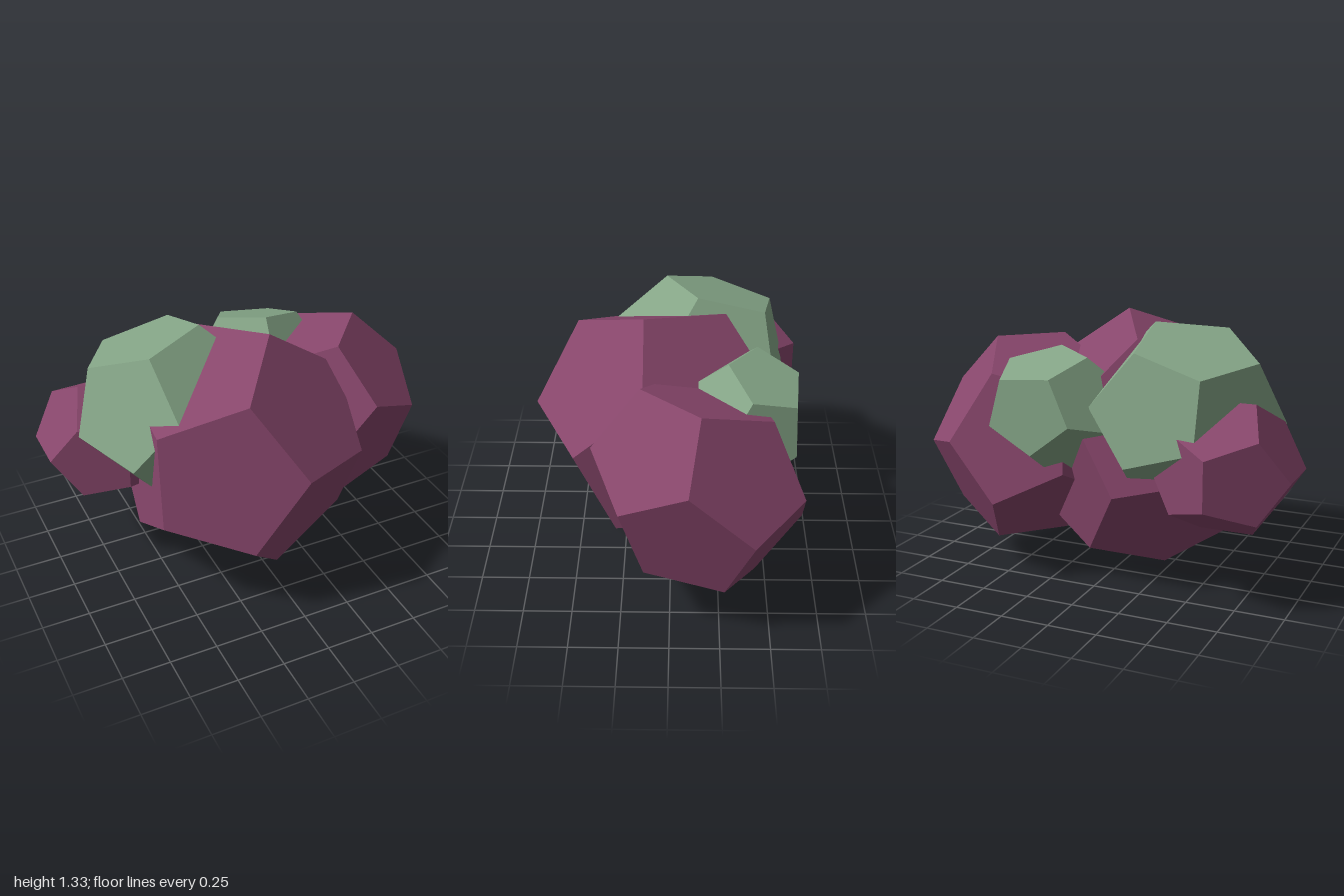
import * as THREE from 'three';

const PURPLE = 0x87466b;
const GREEN = 0x84a486;

// Three corners that surround one corner of a unit dodecahedron
const PHI = (1 + Math.sqrt(5)) / 2;
const unitCorners = [[0, 1 / PHI, PHI], [PHI, 0, 1 / PHI], [1 / PHI, PHI, 0]]
  .map((p) => new THREE.Vector3(...p).normalize());
const fromUnit = new THREE.Matrix4().makeBasis(...unitCorners).invert();

// A tilted, slightly squashed dodecahedron, placed by its centre and by
// three corners listed counter-clockwise around a common neighbour
function makeLobe({ name, color, center, corners }) {
  const c = new THREE.Vector3(...center);
  const axes = corners.map((p) => new THREE.Vector3(...p).sub(c));
  const shape = new THREE.Matrix4().makeBasis(...axes).multiply(fromUnit);
  const geometry = new THREE.DodecahedronGeometry(1, 0).applyMatrix4(shape);
  geometry.computeVertexNormals();
  const material = new THREE.MeshStandardMaterial({ color, flatShading: true });
  const mesh = new THREE.Mesh(geometry, material);
  mesh.name = name;
  mesh.position.copy(c);
  return mesh;
}

const lobes = [
  // Large lobe in the front middle
  {
    name: 'mainLobe', color: PURPLE, center: [-0.06, 0.665, 0.05],
    corners: [[-0.195, 1.175, 0.49], [-0.23, 0.405, 0.64], [0.445, 0.745, 0.485]],
  },
  // Medium lobe on the left side
  {
    name: 'leftLobe', color: PURPLE, center: [0.532, 0.667, -0.145],
    corners: [[0.73, 1.18, -0.145], [0.91, 0.755, 0.237], [1.0, 0.635, -0.4]],
  },
  // Small lobe at the back right, standing upright
  {
    name: 'backRightLobe', color: PURPLE, center: [-0.647, 0.665, -0.345],
    corners: [[-0.647, 0.789, 0.008], [-0.294, 0.665, -0.21], [-0.512, 0.99, -0.345]],
  },
  // Green lobe on the upper right
  {
    name: 'largeGreenLobe', color: GREEN, center: [-0.346, 0.86, -0.155],
    corners: [[-0.515, 1.28, 0.03], [-0.568, 1.12, -0.537], [-0.867, 0.85, -0.1]],
  },
  // Smaller green lobe on the upper left back
  {
    name: 'smallGreenLobe', color: GREEN, center: [0.25, 0.862, -0.365],
    corners: [[0.055, 1.165, -0.435], [0.45, 1.055, -0.61], [0.055, 0.86, -0.66]],
  },
];

export function createModel() {
  const model = new THREE.Group();
  model.name = 'lobedCluster';
  for (const lobe of lobes) model.add(makeLobe(lobe));
  return model;
}
